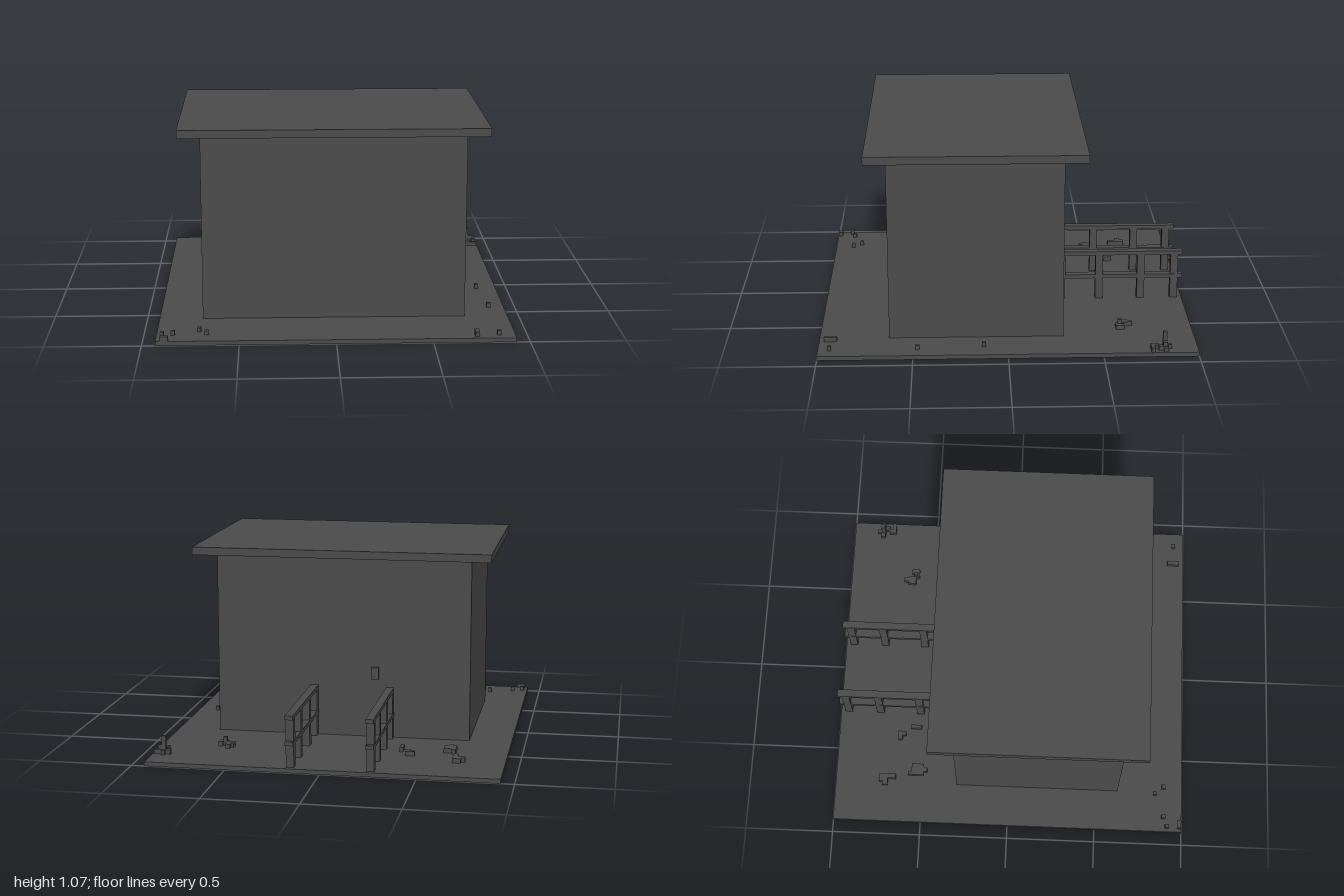
import * as THREE from 'three';

const charcoal = new THREE.MeshStandardMaterial({ color: 0x4c4c4c });
charcoal.name = 'charcoal';

// Box given by its limits on each axis
function block(parent, name, x0, x1, y0, y1, z0, z1) {
  const mesh = new THREE.Mesh(new THREE.BoxGeometry(x1 - x0, y1 - y0, z1 - z0), charcoal);
  mesh.position.set((x0 + x1) / 2, (y0 + y1) / 2, (z0 + z1) / 2);
  mesh.name = name;
  parent.add(mesh);
  return mesh;
}

function group(parent, name) {
  const g = new THREE.Group();
  g.name = name;
  parent.add(g);
  return g;
}

const GROUND = 0.023;

// Railing running from the back wall to the plot edge
function railing(parent, name, x0) {
  const g = group(parent, name);
  const x1 = x0 + 0.042;
  for (const z of [-0.342, -0.553, -0.788, -0.975]) {
    block(g, 'railingPost', x0, x1, GROUND, 0.281, z, z + 0.042);
  }
  block(g, 'topRail', x0, x1, 0.281, 0.303, -1, -0.3);
  block(g, 'middleRail', x0 - 0.001, x1 + 0.001, 0.144, 0.166, -1, -0.3);
}

// Pebbles: x0, x1, z0, z1 and an optional top height
const CLUSTERS = {
  backRightPebbles: [
    [-0.70, -0.655, -0.75, -0.71], [-0.72, -0.68, -0.73, -0.70], [-0.68, -0.655, -0.71, -0.655],
    [-0.655, -0.635, -0.585, -0.495], [-0.635, -0.59, -0.565, -0.495], [-0.635, -0.61, -0.495, -0.475],
  ],
  pathPebbles: [
    [-0.445, -0.395, -0.655, -0.63], [-0.42, -0.395, -0.63, -0.61], [-0.375, -0.355, -0.585, -0.52],
  ],
  backLeftPebbles: [
    [0.55, 0.575, -0.68, -0.655], [0.535, 0.58, -0.655, -0.61],
    [0.575, 0.625, -0.61, -0.59], [0.60, 0.625, -0.635, -0.61], [0.58, 0.60, -0.62, -0.60, 0.07],
  ],
  cornerPlant: [
    [0.86, 0.88, -0.86, -0.84], [0.835, 0.925, -0.84, -0.815],
    [0.86, 0.882, -0.835, -0.813, 0.12], [0.882, 0.904, -0.835, -0.813, 0.07],
    [0.88, 0.904, -0.815, -0.79], [0.86, 0.885, -0.79, -0.75], [0.885, 0.925, -0.77, -0.75],
  ],
  leftSidePebbles: [
    [0.81, 0.83, 0.115, 0.137], [0.835, 0.857, 0.465, 0.487],
    [0.835, 0.857, 0.93, 0.95], [0.72, 0.742, 0.905, 0.975],
  ],
  frontPebbles: [
    [-0.72, -0.70, 0.835, 0.857], [-0.68, -0.658, 0.885, 0.907], [-0.855, -0.835, 0.885, 0.907],
    [-0.91, -0.89, 0.905, 0.927], [-0.91, -0.865, 0.975, 0.998],
  ],
};

export function createModel() {
  const model = new THREE.Group();
  model.name = 'hut';

  // Ground plate, walls and overhanging roof
  block(model, 'groundPlate', -0.93, 0.93, 0, GROUND, -1, 1);
  block(model, 'walls', -0.70, 0.70, GROUND, 1.027, -0.30, 0.63);
  block(model, 'roof', -0.815, 0.81, 1.027, 1.07, -0.418, 0.742);

  // Small fitting on the back wall between the railings
  block(model, 'wallFitting', -0.20, -0.16, 0.35, 0.415, -0.322, -0.30);

  railing(model, 'rightRailing', -0.281);
  railing(model, 'leftRailing', 0.138);

  for (const [name, pebbles] of Object.entries(CLUSTERS)) {
    const g = group(model, name);
    for (const [x0, x1, z0, z1, top = 0.047] of pebbles) {
      block(g, 'pebble', x0, x1, GROUND, top, z0, z1);
    }
  }
  return model;
}
